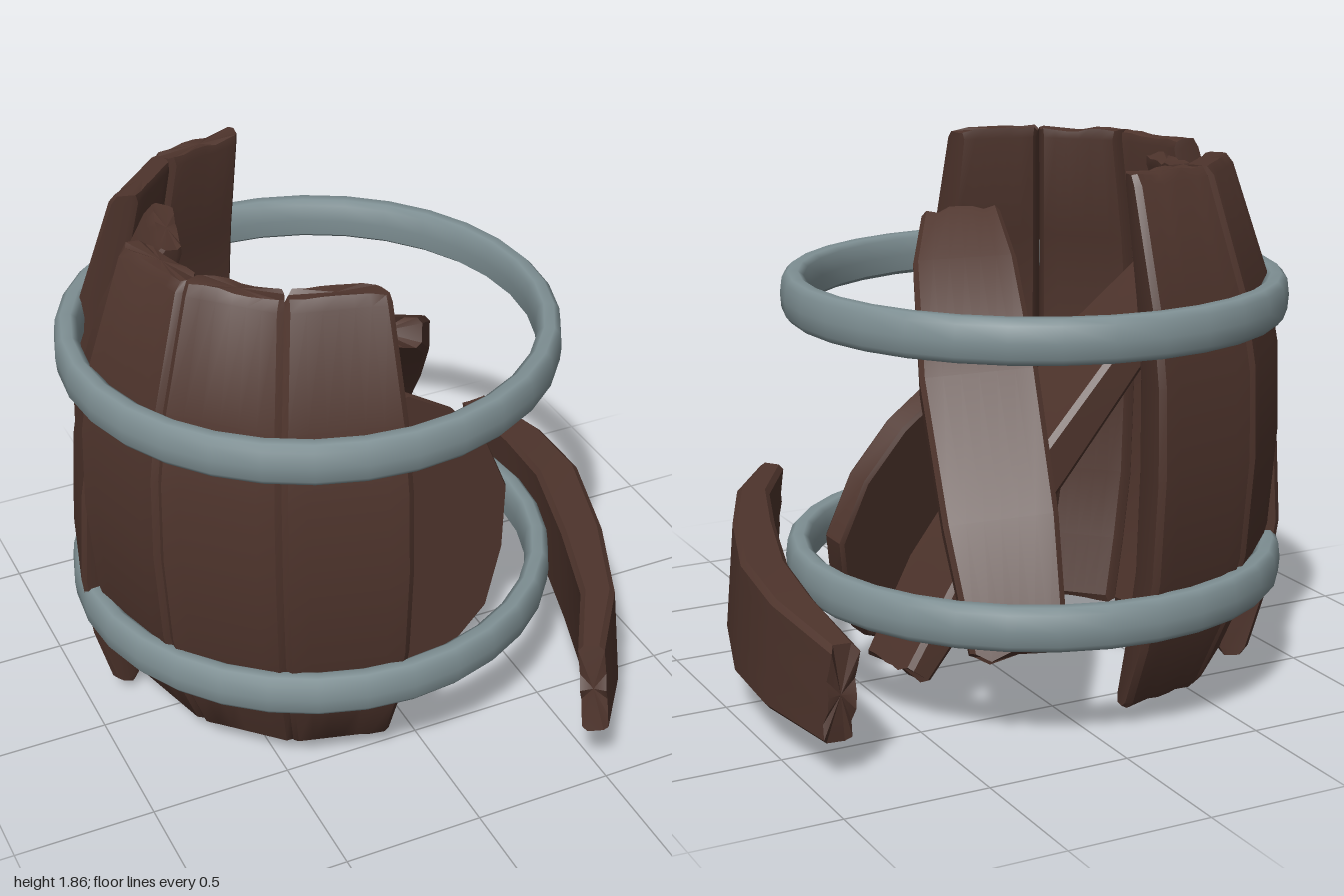
import * as THREE from 'three';
import { toCreasedNormals } from 'three/addons/utils/BufferGeometryUtils.js';

const V = (x, y, z) => new THREE.Vector3(x, y, z);

// small seeded random in -1..1 for splintered ends
let seed = 7;
function rnd() {
  seed = (seed * 16807) % 2147483647;
  return (seed / 2147483647) * 2 - 1;
}

// chamfered board cross-section: inner/outer half widths and half thickness
function boardSection(wi, wo, h) {
  const c = Math.min(0.018, h * 0.4), pts = [], n = 6;
  for (let i = 0; i <= n; i++) pts.push([(wi - c) * (2 * i / n - 1), -h]);
  pts.push([wi, -h + c], [wo, h - c]);
  for (let i = 0; i <= n; i++) pts.push([(wo - c) * (1 - 2 * i / n), h]);
  pts.push([-wo, h - c], [-wi, -h + c]);
  return pts;
}

// skin rings of {c, w, t, d, pts}; both ends are ragged along d
function loft(rings, ragged) {
  const pos = [], idx = [], n = rings[0].pts.length, last = rings.length - 1;
  rings.forEach((r, i) => {
    const end = i === 0 || i === last;
    r.pts.forEach(([a, b], j) => {
      const mate = n - 3 - j;
      const key = end ? (r.jag ??= r.pts.map(() => rnd() * ragged)) : null;
      const off = end ? key[Math.min(j, mate < 0 ? j : mate)] : 0;
      const p = r.c.clone().addScaledVector(r.w, a).addScaledVector(r.t, b).addScaledVector(r.d, off);
      pos.push(p.x, p.y, p.z);
    });
  });
  for (let i = 0; i < last; i++) {
    for (let j = 0; j < n; j++) {
      const k = (j + 1) % n, a = i * n, b = a + n;
      idx.push(a + j, a + k, b + k, a + j, b + k, b + j);
    }
  }
  for (const i of [0, last]) {
    const m = pos.length / 3, c = rings[i].c;
    pos.push(c.x, c.y, c.z);
    for (let j = 0; j < n; j++) {
      const k = (j + 1) % n;
      if (i === 0) idx.push(m, k, j);
      else idx.push(m, i * n + j, i * n + k);
    }
  }
  const g = new THREE.BufferGeometry();
  g.setAttribute('position', new THREE.Float32BufferAttribute(pos, 3));
  g.setIndex(idx);
  return toCreasedNormals(g, 0.5);
}

// board along a list of [x, y, z, halfWidth, halfThickness], face turned to normal
function plank(list, normal) {
  const P = list.map(p => V(p[0], p[1], p[2]));
  const rings = list.map((p, i) => {
    const d = P[Math.min(i + 1, P.length - 1)].clone().sub(P[Math.max(i - 1, 0)]).normalize();
    const w = normal.clone().cross(d).normalize();
    const t = d.clone().cross(w);
    return { c: P[i], w, t, d, pts: boardSection(p[3], p[3], p[4]) };
  });
  return loft(rings, 0.02);
}

// bulging stave, facing +x, heights measured from the barrel middle
const MID = 0.95;
const PROFILE = [ // y, outer radius, inner radius
  [0.06, 0.645, 0.585], [0.085, 0.675, 0.575], [0.3, 0.765, 0.63], [0.55, 0.83, 0.68],
  [0.9, 0.855, 0.695], [1.2, 0.845, 0.69], [1.45, 0.8, 0.655], [1.82, 0.675, 0.575], [1.85, 0.65, 0.58],
];
function stave() {
  const half = THREE.MathUtils.degToRad(14.7), cos = Math.cos(half), sin = Math.sin(half);
  const rings = PROFILE.map(([y, ro, ri]) => ({
    c: V((ro + ri) / 2 * cos, y - MID, 0), w: V(0, 0, 1), t: V(1, 0, 0), d: V(0, 1, 0),
    pts: boardSection(ri * sin, ro * sin, (ro - ri) / 2 * cos),
  }));
  return loft(rings, 0.008);
}

// rounded iron band
function hoop() {
  const prof = [
    [0.79, -0.06], [0.81, -0.075], [0.85, -0.072], [0.868, -0.05], [0.872, 0], [0.865, 0.055],
    [0.845, 0.075], [0.81, 0.075], [0.79, 0.06], [0.783, 0], [0.79, -0.06],
  ].map(p => new THREE.Vector2(p[0], p[1]));
  return new THREE.LatheGeometry(prof, 32);
}

export function createModel() {
  seed = 7;
  const model = new THREE.Group();
  model.name = 'brokenBarrel';
  const wood = new THREE.MeshStandardMaterial({ color: 0x4e342c });
  wood.name = 'dark brown wood';
  const iron = new THREE.MeshStandardMaterial({ color: 0x7f9094 });
  iron.name = 'grey iron';
  const add = (parent, name, geo, mat) => {
    const m = new THREE.Mesh(geo, mat);
    m.name = name;
    parent.add(m);
    return m;
  };

  // standing half of the barrel
  const barrel = new THREE.Group();
  barrel.name = 'barrel';
  barrel.position.set(-0.125, 0, -0.12);
  model.add(barrel);
  for (let k = 0; k < 6; k++) {
    const s = add(barrel, 'stave' + (k + 1), stave(), wood);
    s.position.y = MID;
    s.rotation.y = THREE.MathUtils.degToRad(105 + 30 * k);
    if (k === 2) { // loose stave: top fallen in, foot kicked out
      s.rotation.z = 0.135;
      s.position.y -= 0.115;
    }
  }
  add(barrel, 'lowerHoop', hoop(), iron).position.y = 0.435;
  add(barrel, 'upperHoop', hoop(), iron).position.y = 1.375;

  // fallen round head leaning inside
  const radii = [0.57, 0.55, 0.54, 0.56, 0.57, 0.55, 0.56, 0.54, 0.56, 0.55, 0.57, 0.57, 0.53, 0.56, 0.55];
  const disc = new THREE.Shape(radii.map((r, i) => {
    const a = i / radii.length * Math.PI * 2;
    return new THREE.Vector2((r - 0.012) * Math.cos(a), (r - 0.012) * Math.sin(a));
  }));
  const headGeo = new THREE.ExtrudeGeometry(disc, {
    depth: 0.07, bevelEnabled: true, bevelThickness: 0.012, bevelSize: 0.012, bevelSegments: 1,
  });
  headGeo.translate(0, 0, -0.035);
  const head = add(model, 'barrelHead', toCreasedNormals(headGeo, 0.5), wood);
  head.position.set(0.07, 0.555, 0.125);
  head.rotation.set(-0.24, 0.31, 0, 'YXZ');

  // broken staves lying inside
  add(model, 'leaningPlank', plank([
    [-0.05, 1.56, 0.29, 0.14, 0.05], [0.04, 1.42, 0.08, 0.18, 0.065], [0.16, 1.1, -0.26, 0.2, 0.075],
    [0.24, 0.7, -0.57, 0.19, 0.07], [0.27, 0.32, -0.76, 0.16, 0.05],
  ], V(0.3, 0.7, -0.6)), wood);
  add(model, 'slantedPlank', plank([
    [-0.63, 1.4, -0.19, 0.18, 0.05], [-0.38, 1.18, -0.2, 0.2, 0.065], [-0.03, 0.8, -0.23, 0.205, 0.075],
    [0.28, 0.44, -0.26, 0.19, 0.07], [0.48, 0.16, -0.29, 0.165, 0.05],
  ], V(0.7, 0.7, 0.05)), wood);

  // curved stave thrown outside
  add(model, 'fallenStave', plank([
    [0.44, 0.39, 0.97, 0.165, 0.045], [0.63, 0.35, 0.69, 0.2, 0.06], [0.77, 0.335, 0.33, 0.21, 0.075],
    [0.89, 0.325, -0.07, 0.205, 0.08], [0.915, 0.31, -0.38, 0.19, 0.075], [0.895, 0.29, -0.75, 0.165, 0.05],
  ], V(1, 0.08, 0.3)), wood);

  return model;
}
